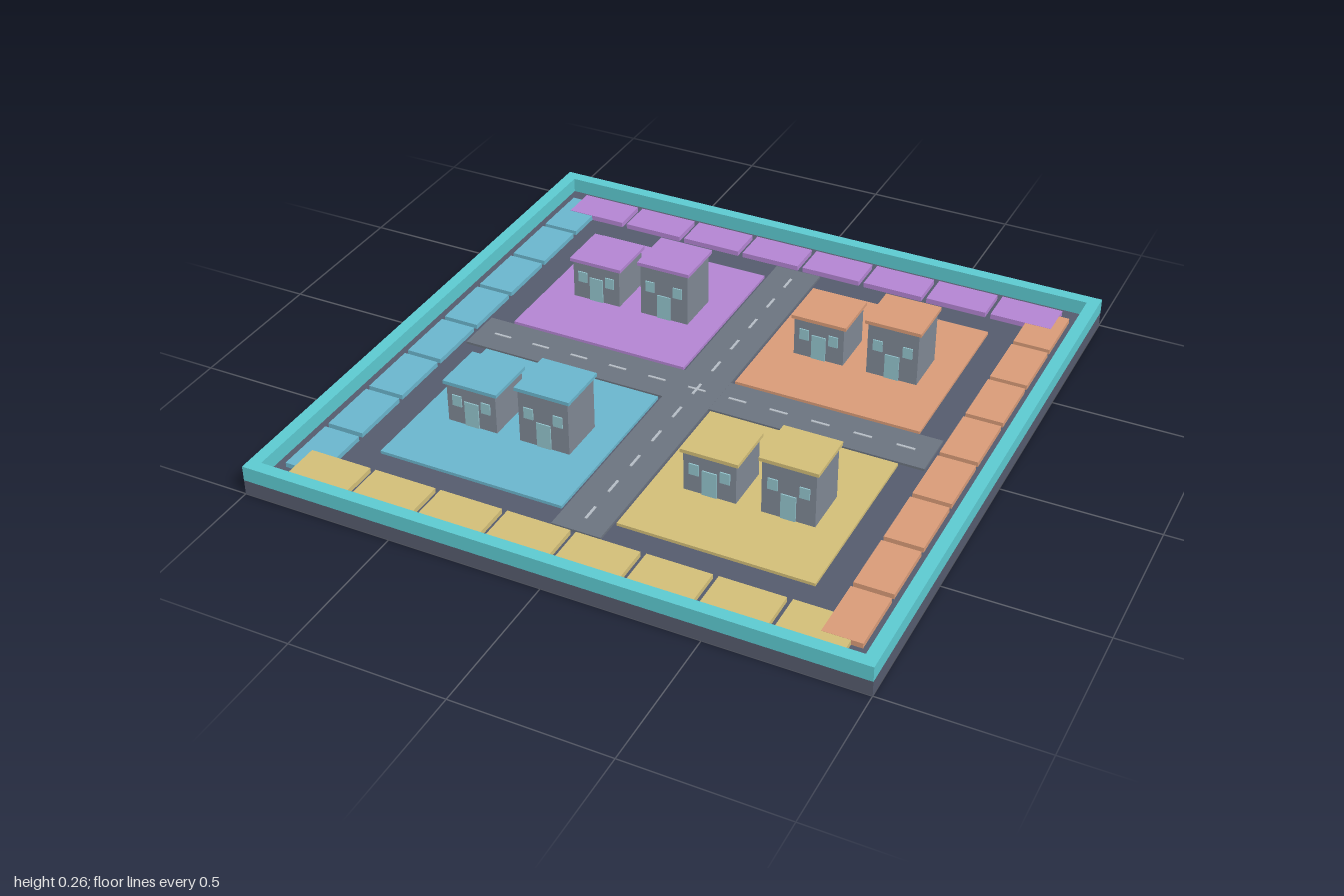
import * as THREE from 'three';

const COLORS = {
  base: 0x555b6d, rim: 0x5cc9d0, road: 0x6b737f, dash: 0xb4bcc4, wall: 0x7f8894, glass: 0x93c4cd,
  purple: 0xb384d2, orange: 0xd89b78, yellow: 0xd2be78, blue: 0x6ab5cc,
};
const materials = {};
for (const key in COLORS) materials[key] = new THREE.MeshStandardMaterial({ color: COLORS[key] });

// Box given by its centre in x and z, and its bottom and top height
function box(parent, name, color, w, d, y0, y1, x = 0, z = 0) {
  const mesh = new THREE.Mesh(new THREE.BoxGeometry(w, y1 - y0, d), materials[color]);
  mesh.position.set(x, (y0 + y1) / 2, z);
  mesh.name = name;
  parent.add(mesh);
  return mesh;
}

function square(PathType, r) {
  return new PathType([[-r, -r], [r, -r], [r, r], [-r, r]].map(([x, y]) => new THREE.Vector2(x, y)));
}

// House with its front facing +z
function createHouse(color, height) {
  const house = new THREE.Group();
  house.name = 'house';
  const top = height - 0.012, mid = 0.06 + (top - 0.06) * 0.6;
  box(house, 'walls', 'wall', 0.17, 0.16, 0.06, top);
  box(house, 'roof', color, 0.187, 0.176, top, height);
  box(house, 'door', 'glass', 0.048, 0.006, 0.06, 0.146, 0, 0.081);
  for (const s of [-1, 1]) box(house, 'window', 'glass', 0.032, 0.006, mid - 0.019, mid + 0.019, s * 0.05, 0.081);
  return house;
}

export function createModel() {
  const model = new THREE.Group();
  model.name = 'townBoard';

  // Board slab and raised rim
  box(model, 'base', 'base', 2, 2, 0, 0.05);
  const rimShape = square(THREE.Shape, 1);
  rimShape.holes.push(square(THREE.Path, 0.96));
  const rimGeometry = new THREE.ExtrudeGeometry(rimShape, { depth: 0.05, bevelEnabled: false });
  rimGeometry.rotateX(-Math.PI / 2);
  const rim = new THREE.Mesh(rimGeometry, materials.rim);
  rim.position.y = 0.05;
  rim.name = 'rim';
  model.add(rim);

  // Rows of tiles along the four sides; tiny steps keep the overlapping corners clean
  const rows = [
    { color: 'purple', z: -0.865, top: 0.0675 },
    { color: 'orange', x: 0.865, top: 0.067 },
    { color: 'yellow', z: 0.865, top: 0.0665 },
    { color: 'blue', x: -0.865, top: 0.066 },
  ];
  for (const { color, x, z, top } of rows) {
    const row = new THREE.Group();
    row.name = color + 'TileRow';
    for (let i = 0; i < 8; i++) {
      const t = (i - 3.5) * 0.225;
      if (x === undefined) box(row, 'tile', color, 0.207, 0.122, 0.05, top, t, z);
      else box(row, 'tile', color, 0.122, 0.207, 0.05, top, x, t);
    }
    model.add(row);
  }

  // Crossing roads with dashed centre lines
  box(model, 'roadAcross', 'road', 1.58, 0.16, 0.05, 0.058);
  box(model, 'roadAlong', 'road', 0.16, 1.58, 0.05, 0.0585);
  for (let i = -5; i <= 5; i++) {
    box(model, 'laneDash', 'dash', 0.06, 0.008, 0.058, 0.0605, i * 0.14, 0);
    box(model, 'laneDash', 'dash', 0.008, 0.06, 0.058, 0.061, 0, i * 0.14);
  }

  // Four coloured plots, each with a low and a tall house
  const plots = [['purple', -1, -1], ['orange', 1, -1], ['blue', -1, 1], ['yellow', 1, 1]];
  for (const [color, sx, sz] of plots) {
    const plot = new THREE.Group();
    plot.name = color + 'Plot';
    plot.position.set(sx * 0.4, 0, sz * 0.4);
    box(plot, 'ground', color, 0.62, 0.62, 0.05, 0.06);
    [[-0.125, 0.207], [0.125, 0.256]].forEach(([x, height]) => {
      const house = createHouse(color, height);
      house.position.x = x;
      plot.add(house);
    });
    model.add(plot);
  }
  return model;
}
